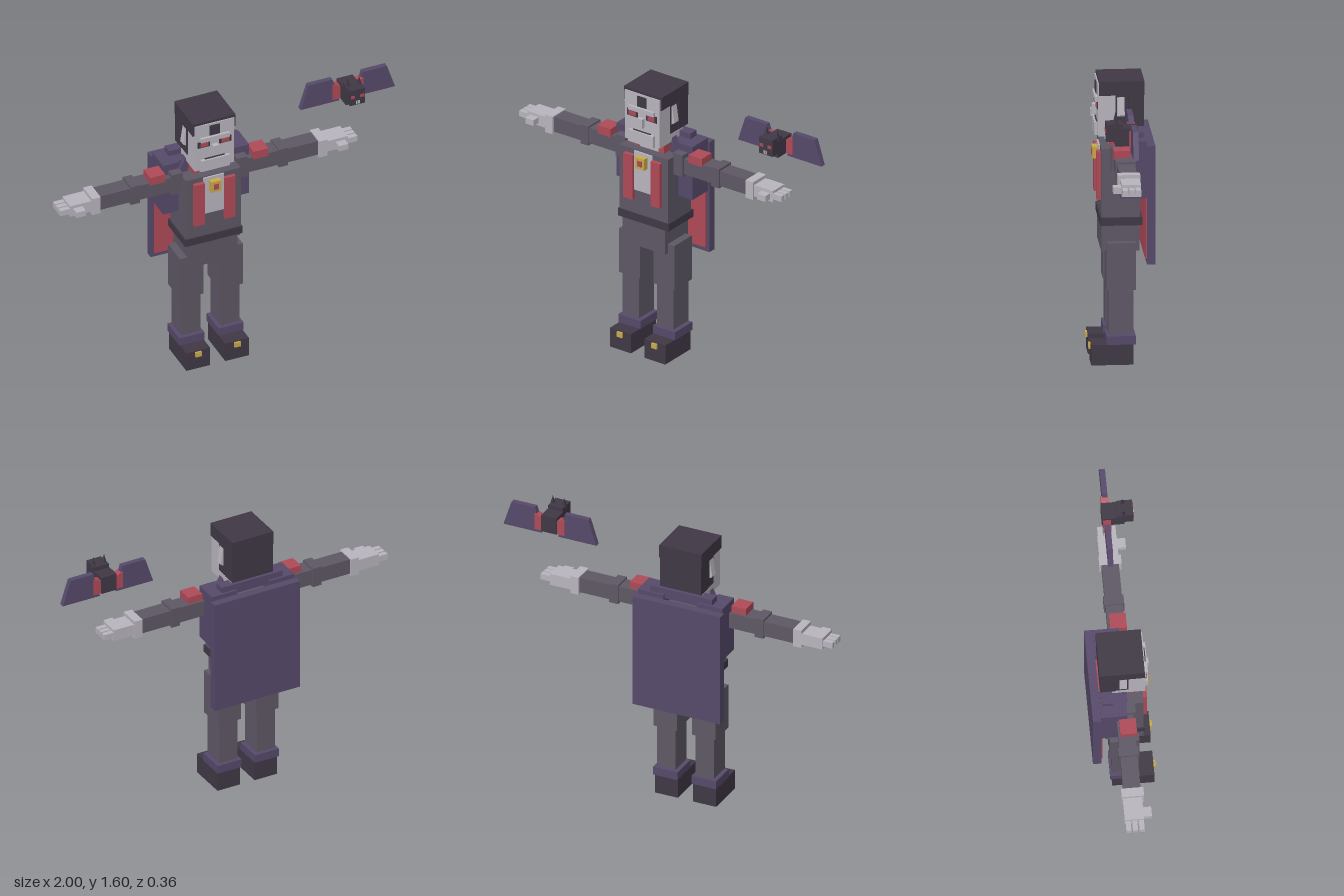
import * as THREE from 'three';

const mat = (name, color) => {
  const m = new THREE.MeshStandardMaterial({ color });
  m.name = name;
  return m;
};

export function createModel() {
  const suit = mat('charcoal suit', 0x5f5866);
  const dark = mat('near black', 0x403946);
  const purple = mat('cape purple', 0x574a6b);
  const red = mat('crimson', 0xb04a58);
  const pale = mat('pale skin', 0xbab6bf);
  const gold = mat('gold', 0xc9ab4a);

  const model = new THREE.Group();
  model.name = 'vampireWithBat';

  const add = (parent, name, geometry, material) => {
    const mesh = new THREE.Mesh(geometry, material);
    mesh.name = name;
    parent.add(mesh);
    return mesh;
  };
  // Box given by its limits on each axis
  const box = (parent, name, m, x0, x1, y0, y1, z0, z1) => {
    const g = new THREE.BoxGeometry(x1 - x0, y1 - y0, z1 - z0);
    g.translate((x0 + x1) / 2, (y0 + y1) / 2, (z0 + z1) / 2);
    return add(parent, name, g, m);
  };
  // Same box on both sides of x = 0
  const pair = (parent, name, m, x0, x1, y0, y1, z0, z1) => {
    box(parent, name + 'Left', m, x0, x1, y0, y1, z0, z1);
    box(parent, name + 'Right', m, -x1, -x0, y0, y1, z0, z1);
  };
  // Flat outline in x, y with a thickness along z
  const plate = (parent, name, m, points, z0, z1) => {
    const s = new THREE.Shape(points.map(p => new THREE.Vector2(p[0], p[1])));
    const g = new THREE.ExtrudeGeometry(s, { depth: z1 - z0, bevelEnabled: false });
    g.translate(0, 0, z0);
    return add(parent, name, g, m);
  };

  const body = new THREE.Group();
  body.name = 'body';
  body.position.x = -0.12;
  model.add(body);

  // Legs and shoes
  pair(body, 'shoe', dark, 0.045, 0.185, 0, 0.115, -0.065, 0.165);
  pair(body, 'shoeBuckle', gold, 0.098, 0.133, 0.08, 0.11, 0.165, 0.176);
  pair(body, 'buckleInset', pale === gold ? pale : gold, 0.106, 0.125, 0.087, 0.103, 0.176, 0.178);
  pair(body, 'ankleCuff', purple, 0.042, 0.19, 0.115, 0.163, -0.076, 0.083);
  pair(body, 'lowerLeg', suit, 0.06, 0.172, 0.17, 0.415, -0.065, 0.07);
  pair(body, 'upperLeg', suit, 0.046, 0.186, 0.42, 0.685, -0.077, 0.083);

  // Torso
  box(body, 'pelvis', suit, -0.143, 0.143, 0.63, 0.79, -0.1, 0.108);
  box(body, 'belt', dark, -0.17, 0.17, 0.78, 0.825, -0.113, 0.115);
  box(body, 'torso', suit, -0.163, 0.163, 0.82, 1.21, -0.1, 0.108);
  box(body, 'shirtFront', pale, -0.06, 0.06, 0.97, 1.205, 0.1, 0.117);
  pair(body, 'lapel', red, 0.06, 0.122, 0.912, 1.18, 0.108, 0.131);
  box(body, 'amulet', gold, -0.03, 0.03, 1.12, 1.188, 0.115, 0.148);
  box(body, 'amuletStone', red, -0.015, 0.015, 1.137, 1.171, 0.148, 0.151);
  box(body, 'neck', pale, -0.062, 0.062, 1.2, 1.29, -0.05, 0.06);
  pair(body, 'innerCollar', red, 0.062, 0.1, 1.2, 1.27, -0.04, 0.06);

  // Cape
  box(body, 'capeBack', purple, -0.265, 0.265, 0.585, 1.25, -0.177, -0.131);
  box(body, 'capeLining', red, -0.245, 0.245, 0.61, 1.23, -0.131, -0.123);
  pair(body, 'capeSide', purple, 0.163, 0.255, 0.955, 1.275, -0.131, 0.012);
  pair(body, 'capeShoulder', purple, 0.1, 0.163, 1.21, 1.275, -0.131, 0.0);
  box(body, 'capeCollar', purple, -0.188, 0.188, 1.25, 1.308, -0.118, -0.06);
  for (const s of [-1, 1]) {
    const pts = [[s * 0.11, 1.21], [s * 0.17, 1.21], [s * 0.125, 1.3]];
    plate(body, 'collarPoint', purple, s > 0 ? pts : pts.reverse(), -0.02, 0.02);
  }

  // Arms held straight out
  pair(body, 'shoulder', suit, 0.16, 0.225, 1.105, 1.235, -0.06, 0.06);
  pair(body, 'upperArm', suit, 0.22, 0.42, 1.118, 1.21, -0.047, 0.047);
  pair(body, 'shoulderPad', red, 0.262, 0.35, 1.2, 1.25, -0.035, 0.056);
  pair(body, 'elbow', suit, 0.412, 0.465, 1.105, 1.22, -0.055, 0.055);
  pair(body, 'forearm', suit, 0.46, 0.65, 1.118, 1.207, -0.047, 0.047);
  pair(body, 'wristCuff', pale, 0.647, 0.697, 1.107, 1.213, -0.06, 0.062);
  pair(body, 'palm', pale, 0.695, 0.823, 1.125, 1.193, -0.055, 0.05);
  pair(body, 'thumb', pale, 0.75, 0.805, 1.14, 1.175, 0.05, 0.095);
  for (let i = 0; i < 3; i++) {
    const z = -0.051 + i * 0.036;
    pair(body, 'finger', pale, 0.82, 0.88, 1.143, 1.177, z, z + 0.028);
  }

  // Head and face
  box(body, 'head', pale, -0.117, 0.117, 1.27, 1.56, -0.09, 0.123);
  box(body, 'chin', pale, -0.084, 0.084, 1.268, 1.338, 0.12, 0.14);
  box(body, 'brow', pale, -0.086, 0.086, 1.456, 1.482, 0.12, 0.138);
  box(body, 'nose', pale, -0.016, 0.016, 1.37, 1.425, 0.12, 0.148);
  box(body, 'mouth', dark, -0.058, 0.058, 1.338, 1.343, 0.12, 0.13);
  pair(body, 'eyeSocket', dark, 0.028, 0.1, 1.418, 1.456, 0.122, 0.128);
  pair(body, 'eye', red, 0.04, 0.085, 1.424, 1.448, 0.127, 0.132);
  for (const s of [-1, 1]) {
    const pts = [[s * 0.11, 1.37], [s * 0.14, 1.39], [s * 0.125, 1.49], [s * 0.11, 1.47]];
    plate(body, 'ear', pale, s > 0 ? pts : pts.reverse(), -0.02, 0.02);
  }

  // Hair
  box(body, 'hairTop', dark, -0.127, 0.127, 1.5, 1.578, -0.128, 0.118);
  box(body, 'forehead', pale, -0.117, 0.117, 1.49, 1.562, 0.117, 0.124);
  box(body, 'hairBack', dark, -0.125, 0.125, 1.325, 1.5, -0.125, -0.04);
  pair(body, 'sideburn', dark, 0.113, 0.122, 1.325, 1.5, -0.04, 0.03);
  box(body, 'widowsPeak', dark, -0.03, 0.03, 1.488, 1.55, 0.122, 0.13);

  // Hovering bat
  const bat = new THREE.Group();
  bat.name = 'bat';
  bat.position.x = 0.72;
  model.add(bat);
  box(bat, 'batBody', dark, -0.047, 0.047, 1.43, 1.53, -0.032, 0.09);
  box(bat, 'batHead', dark, -0.045, 0.045, 1.455, 1.552, 0.05, 0.14);
  pair(bat, 'batEye', red, 0.016, 0.04, 1.5, 1.517, 0.138, 0.144);
  box(bat, 'batSnout', dark, -0.025, 0.025, 1.46, 1.49, 0.138, 0.142);
  pair(bat, 'batFang', pale, 0.003, 0.011, 1.462, 1.482, 0.14, 0.146);
  for (const s of [-1, 1]) {
    const order = pts => {
      const p = pts.map(([x, y]) => [s * x, y]);
      return s > 0 ? p : p.reverse();
    };
    const ear = new THREE.ConeGeometry(0.018, 0.06, 4);
    ear.rotateY(Math.PI / 4);
    ear.translate(s * 0.034, 1.568, 0.085);
    add(bat, 'batEar', ear, dark);
    plate(bat, 'batWing', purple, order([[0.05, 1.413], [0.28, 1.413], [0.232, 1.56], [0.09, 1.56]]), -0.02, 0.01);
    plate(bat, 'wingMembrane', red, order([[0.04, 1.43], [0.09, 1.43], [0.09, 1.527], [0.04, 1.51]]), -0.026, 0.016);
  }
  return model;
}
